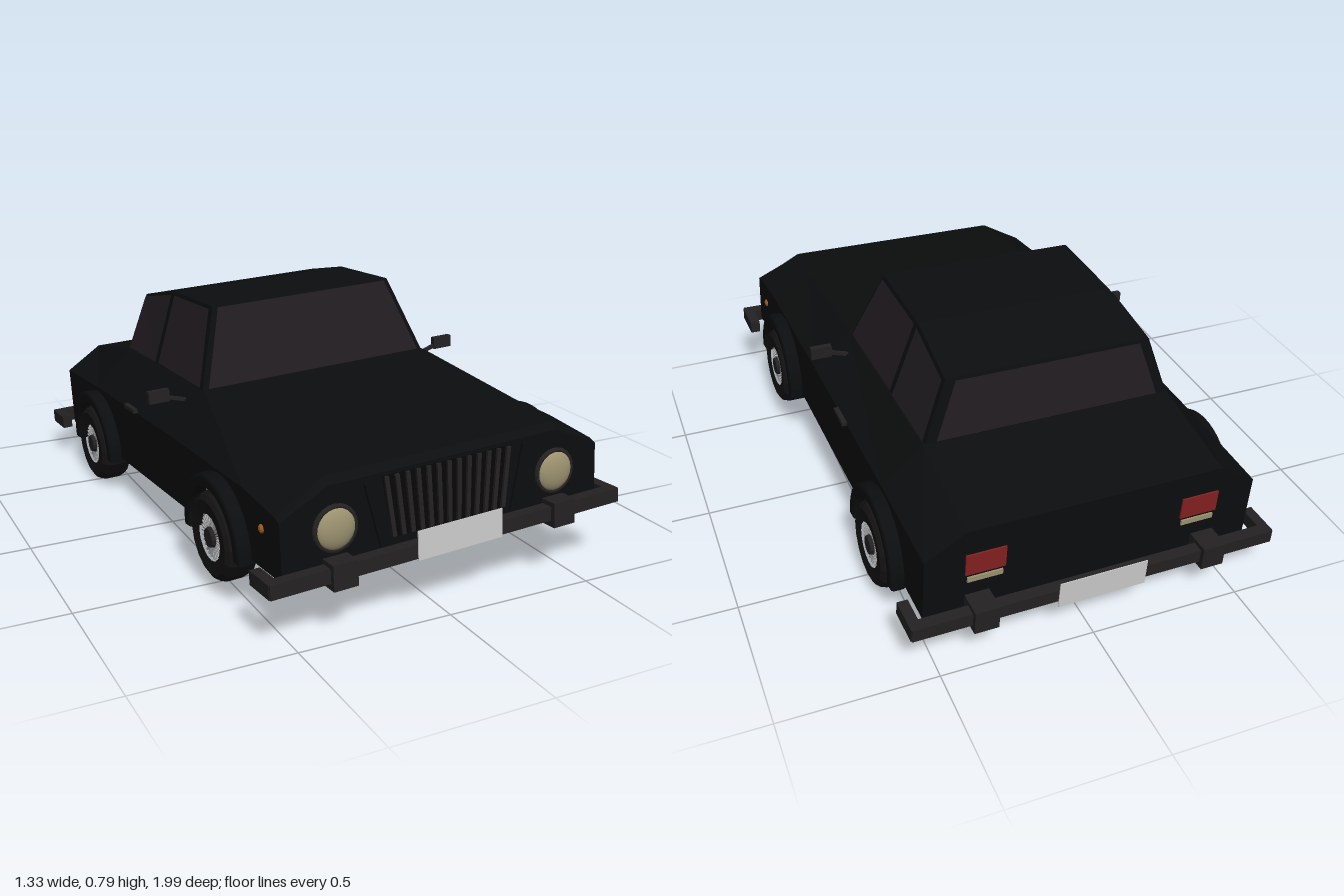
import * as THREE from 'three';

const mat = (color, extra = {}) => new THREE.MeshStandardMaterial({ color, flatShading: true, ...extra });
const paint = mat(0x0b0d0e);
const trim = mat(0x232122);
const rubber = mat(0x151314);
const glass = mat(0x211c20, { side: THREE.DoubleSide });
const dark = mat(0x070707);
const steel = mat(0xa8a8a8);
const plateMat = mat(0xcccccc);
const lamp = new THREE.MeshStandardMaterial({ color: 0x9c9270 });
const red = mat(0x842020);
const orange = mat(0x9c5a20);

const SIDE = 0.56, SILL = 0.18, TAIL = -0.885, NOSE = 0.92;
const AXLES = [0.533, -0.54], AXLE_Y = 0.192, ARCH = 0.155;
// Body sections: [z, side edge height, shoulder half width, shoulder height]
const SPINE = [[TAIL, 0.395, 0.43, 0.475], [-0.53, 0.405, 0.43, 0.535], [0.17, 0.405, 0.43, 0.53],
  [0.7, 0.395, 0.42, 0.475], [0.895, 0.37, 0.405, 0.455], [NOSE, 0.36, 0.4, 0.435]];

export function createModel() {
  const car = new THREE.Group();
  car.name = 'car';

  const add = (name, geo, material, x = 0, y = 0, z = 0, parent = car) => {
    const m = new THREE.Mesh(geo, material);
    m.name = name;
    m.position.set(x, y, z);
    parent.add(m);
    return m;
  };
  const box = (name, w, h, d, material, x, y, z, parent) =>
    add(name, new THREE.BoxGeometry(w, h, d), material, x, y, z, parent);
  const fromTriangles = (pts) => {
    const g = new THREE.BufferGeometry().setFromPoints(pts);
    g.computeVertexNormals();
    return g;
  };
  // Open skin through cross-sections ordered back to front, points from +x to -x
  const loft = (sections) => {
    const pts = [];
    for (let i = 0; i + 1 < sections.length; i++)
      for (let j = 0; j + 1 < sections[i].length; j++) {
        const a = sections[i][j], d = sections[i][j + 1], b = sections[i + 1][j], c = sections[i + 1][j + 1];
        pts.push(a, d, c, a, c, b);
      }
    return fromTriangles(pts);
  };
  const fan = (loop) => {
    const pts = [];
    for (let i = 1; i + 1 < loop.length; i++) pts.push(loop[0], loop[i], loop[i + 1]);
    return fromTriangles(pts);
  };
  const flat = (pts) => new THREE.ShapeGeometry(new THREE.Shape(pts.map((p) => new THREE.Vector2(...p))));
  const V = (x, y, z) => new THREE.Vector3(x, y, z);

  // Hood, shoulders and boot lid
  add('upperBody', loft(SPINE.map(([z, edge, w, y]) =>
    [V(SIDE, edge, z), V(w, y, z), V(-w, y, z), V(-SIDE, edge, z)])), paint);

  // Nose and tail panels
  const endPanel = ([, edge, w, y]) =>
    flat([[-SIDE, SILL], [SIDE, SILL], [SIDE, edge], [w, y], [-w, y], [-SIDE, edge]]);
  add('nosePanel', endPanel(SPINE[SPINE.length - 1]), paint, 0, 0, NOSE);
  add('tailPanel', endPanel(SPINE[0]), paint, 0, 0, TAIL).rotation.y = Math.PI;

  // Side panels with wheel cut-outs
  const dip = Math.asin((AXLE_Y - SILL) / ARCH);
  for (const s of [1, -1]) {
    const top = SPINE.map(([z, edge]) => [-s * z, edge]).sort((a, b) => b[0] - a[0]);
    const shape = new THREE.Shape();
    shape.moveTo(top[top.length - 1][0], SILL);
    for (const c of AXLES.map((z) => -s * z).sort((a, b) => a - b)) {
      shape.lineTo(c - ARCH * Math.cos(dip), SILL);
      shape.absarc(c, AXLE_Y, ARCH, Math.PI + dip, -dip, true);
    }
    shape.lineTo(top[0][0], SILL);
    for (const [u, y] of top) shape.lineTo(u, y);
    add('sidePanel', new THREE.ShapeGeometry(shape, 10), paint, s * SIDE).rotation.y = s * Math.PI / 2;
  }

  // Floor, narrowed at the wheels
  const half = [[SIDE, TAIL]];
  for (const z of [...AXLES].reverse())
    half.push([SIDE, z - ARCH], [0.46, z - ARCH], [0.46, z + ARCH], [SIDE, z + ARCH]);
  half.push([SIDE, NOSE]);
  add('floor', flat([...half, ...half.map(([x, z]) => [-x, z]).reverse()]), dark, 0, SILL, 0).rotation.x = Math.PI / 2;

  // Cabin: [z, y, half width], from rear base over the roof to windscreen base
  const cab = [[-0.535, 0.53, 0.425], [-0.5, 0.737, 0.35], [-0.245, 0.784, 0.34], [0.073, 0.787, 0.34], [0.15, 0.525, 0.43]];
  const at = (i, s) => V(s * cab[i][2], cab[i][1], cab[i][0]);
  add('cabinShell', loft(cab.map((c, i) => [at(i, 1), at(i, -1)])), paint);
  for (const s of [1, -1]) {
    const loop = cab.map((c, i) => at(i, s));
    add('cabinSide', fan(s > 0 ? loop : loop.reverse()), paint);
  }

  // Window panes, inset within a cabin face and lifted off it
  const pane = (name, corners, inset, out) => {
    const mid = corners.reduce((m, p) => m.add(p), V(0, 0, 0)).divideScalar(corners.length);
    add(name, fan(corners.map((p) => p.clone().lerp(mid, inset).add(out))), glass);
  };
  pane('windscreen', [at(4, 1), at(3, 1), at(3, -1), at(4, -1)], 0.05, V(0, 0.002, 0.006));
  pane('rearWindow', [at(0, 1), at(1, 1), at(1, -1), at(0, -1)], 0.09, V(0, 0.001, -0.005));
  for (const s of [1, -1]) {
    const post = V(s * 0.427, 0.53, -0.25);
    pane('frontSideWindow', [at(4, s), at(3, s), at(2, s), post], 0.08, V(s * 0.005, 0.001, 0));
    pane('rearSideWindow', [post, at(2, s), at(1, s), at(0, s)], 0.08, V(s * 0.006, 0.001, 0));
  }

  // Wheels with wire spokes, and arch flares
  const tyre = new THREE.LatheGeometry([[0.075, 0.05], [0.12, 0.055], [0.135, 0.045], [0.142, 0.025], [0.142, -0.025],
    [0.135, -0.045], [0.12, -0.055], [0.075, -0.05]].map(([r, y]) => new THREE.Vector2(r, -y)), 16);
  tyre.rotateZ(Math.PI / 2);
  const disc = new THREE.CylinderGeometry(0.08, 0.08, 0.07, 16).rotateZ(Math.PI / 2);
  const cap = new THREE.CylinderGeometry(0.03, 0.036, 0.02, 12).rotateZ(-Math.PI / 2);
  const flareShape = new THREE.Shape();
  flareShape.absarc(0, 0, 0.188, -0.08, Math.PI + 0.08, false);
  flareShape.absarc(0, 0, ARCH + 0.01, Math.PI + 0.08, -0.08, true);
  const flare = new THREE.ExtrudeGeometry(flareShape, { depth: 0.03, bevelEnabled: true, bevelSize: 0.01,
    bevelThickness: 0.012, bevelSegments: 2, curveSegments: 12 }).rotateY(Math.PI / 2);
  for (const z of AXLES)
    for (const s of [1, -1]) {
      const wheel = new THREE.Group();
      wheel.name = z > 0 ? 'frontWheel' : 'rearWheel';
      wheel.position.set(s * 0.555, AXLE_Y, z);
      if (s < 0) wheel.rotation.y = Math.PI;
      car.add(wheel);
      add('tyre', tyre, rubber, 0, 0, 0, wheel);
      add('rimDisc', disc, dark, 0, 0, 0, wheel);
      add('hubCap', cap, trim, 0.045, 0, 0, wheel);
      for (let i = 0; i < 28; i++) {
        const a = (i / 28) * Math.PI * 2;
        box('spoke', 0.006, 0.046, 0.005, steel, 0.04, 0.05 * Math.cos(a), 0.05 * Math.sin(a), wheel).rotation.x = a;
      }
      add('archFlare', flare, paint, 0.008, 0, 0, wheel);
    }

  // Bumpers with wrapped ends, overriders and plates
  for (const [s, zBar, y, plateY, plateZ, name] of
    [[1, 0.945, 0.185, 0.212, 0.982, 'front'], [-1, -0.94, 0.2, 0.205, -0.964, 'rear']]) {
    box(name + 'Bumper', 1.24, 0.045, 0.04, trim, 0, y, zBar);
    for (const x of [1, -1]) {
      box(name + 'BumperEnd', 0.035, 0.045, 0.12, trim, x * 0.605, y, zBar - s * 0.045);
      box(name + 'Overrider', 0.08, 0.08, 0.085, trim, x * 0.39, y - 0.003, zBar - s * 0.007);
    }
    box(name + 'Plate', 0.3, 0.092, 0.003, plateMat, 0, plateY, plateZ);
  }

  // Grille: tapered backing, vertical slats and frame
  add('grilleBacking', flat([[-0.2, 0.23], [0.2, 0.23], [0.23, 0.425], [-0.23, 0.425]]), dark, 0, 0, NOSE + 0.003);
  for (let i = 0; i < 13; i++) {
    const t = i / 6 - 1;
    box('grilleSlat', 0.014, 0.19, 0.01, trim, t * 0.205, 0.328, NOSE + 0.006).rotation.z = -t * 0.12;
  }
  for (const s of [1, -1])
    box('grilleFrame', 0.02, 0.21, 0.012, paint, s * 0.255, 0.315, NOSE + 0.003).rotation.z = -s * 0.23;

  // Lamps, mirrors and handles
  for (const s of [1, -1]) {
    const x = s * 0.389;
    add('headlightRim', new THREE.TorusGeometry(0.066, 0.008, 8, 24), trim, x, 0.307, NOSE + 0.008);
    add('headlight', new THREE.SphereGeometry(0.066, 24, 12).scale(1, 1, 0.4), lamp, x, 0.307, NOSE + 0.005);
    box('tailLight', 0.13, 0.075, 0.012, red, s * 0.365, 0.35, TAIL);
    box('reverseLight', 0.115, 0.018, 0.012, lamp, s * 0.365, 0.292, TAIL);
    add('sideMarker', new THREE.SphereGeometry(0.014, 10, 8).scale(0.7, 1, 1), orange, s * SIDE, 0.307, 0.81);
    box('mirror', 0.072, 0.042, 0.02, trim, s * 0.56, 0.521, 0.085);
    box('mirrorArm', 0.11, 0.012, 0.012, trim, s * 0.48, 0.497, 0.085).rotation.z = s * 0.3;
    box('doorHandle', 0.016, 0.014, 0.09, trim, s * 0.572, 0.42, -0.16);
  }

  // The car sits slightly tilted and turned
  car.rotation.set(-0.04, 0.042, 0.037);
  const model = new THREE.Group();
  model.name = 'saloonCar';
  model.add(car);
  model.updateMatrixWorld(true);
  const bounds = new THREE.Box3().setFromObject(model, true);
  const mid = bounds.getCenter(new THREE.Vector3());
  car.position.set(-mid.x, -bounds.min.y, -mid.z);
  return model;
}
